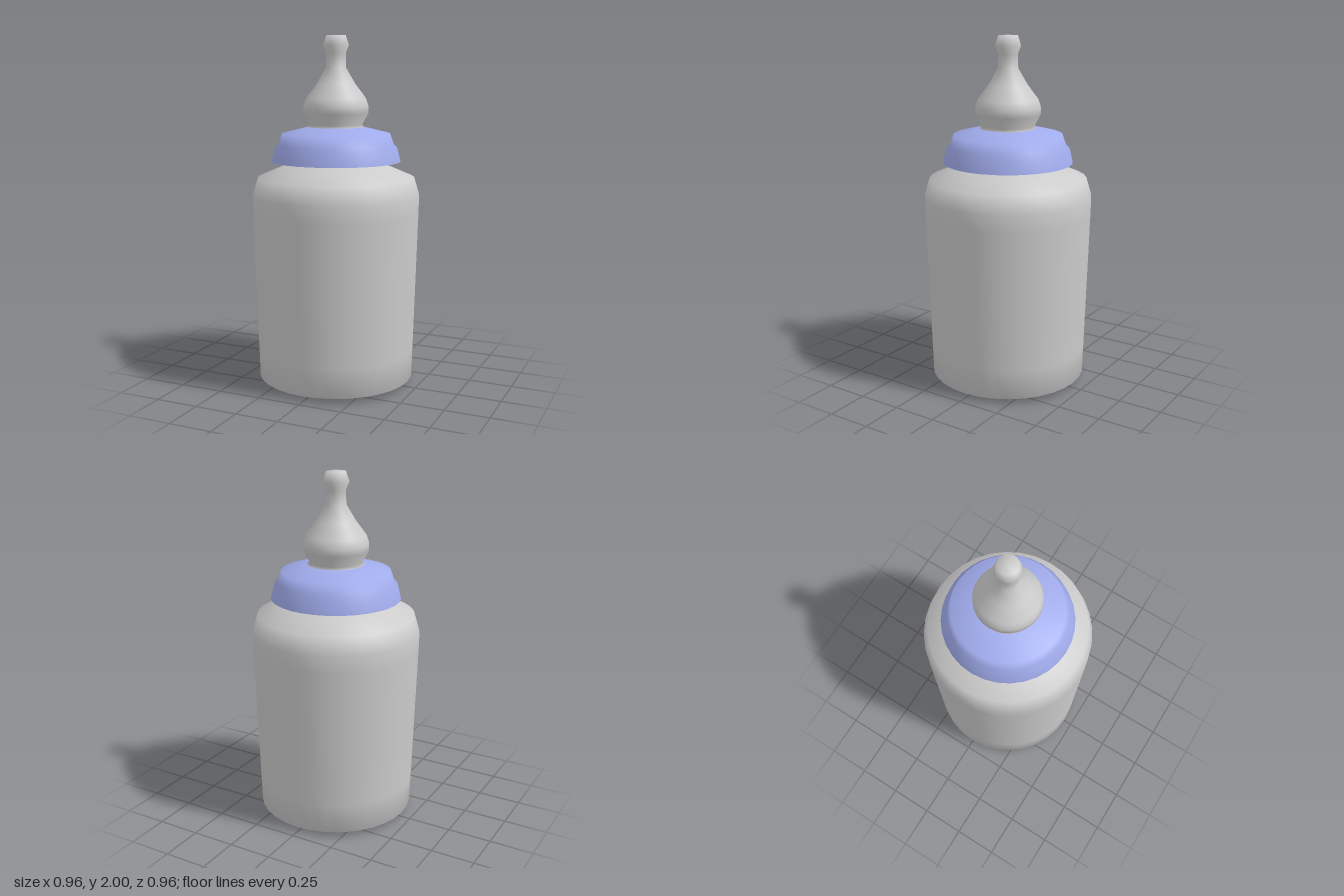
import * as THREE from 'three';

const SIDES = 32;

// Smooth turned part from a [radius, height] profile, listed bottom to top
function turned(name, profile, color, side = THREE.FrontSide) {
  const points = profile.map(([r, y]) => new THREE.Vector2(r, y));
  const mesh = new THREE.Mesh(
    new THREE.LatheGeometry(points, SIDES),
    new THREE.MeshStandardMaterial({ color, side })
  );
  mesh.name = name;
  return mesh;
}

export function createModel() {
  const model = new THREE.Group();
  model.name = 'babyBottle';

  // Container with chamfered foot, slight outward taper, shoulder and hidden neck
  model.add(turned('bottleBody', [
    [0, 0], [0.38, 0.005], [0.45, 0.03], [0.455, 0.2], [0.478, 1.0], [0.48, 1.1],
    [0.45, 1.2], [0.31, 1.26], [0.28, 1.29], [0.2, 1.32], [0.18, 1.46]
  ], 0xcccccc, THREE.DoubleSide));

  // Screw collar: flared skirt, small step and sloping top, open underneath
  model.add(turned('collar', [
    [0.37, 1.292], [0.35, 1.37], [0.33, 1.39], [0.31, 1.45], [0.16, 1.487], [0.13, 1.487]
  ], 0xa0abeb, THREE.DoubleSide));

  // Teat: pinched base, round bulb, slim stem and a small rounded tip
  model.add(turned('teat', [
    [0.165, 1.48], [0.15, 1.5], [0.185, 1.565], [0.185, 1.605], [0.17, 1.65], [0.11, 1.73],
    [0.057, 1.82], [0.055, 1.9], [0.073, 1.945], [0.055, 2], [0, 2]
  ], 0xcccccc, THREE.DoubleSide));

  return model;
}
